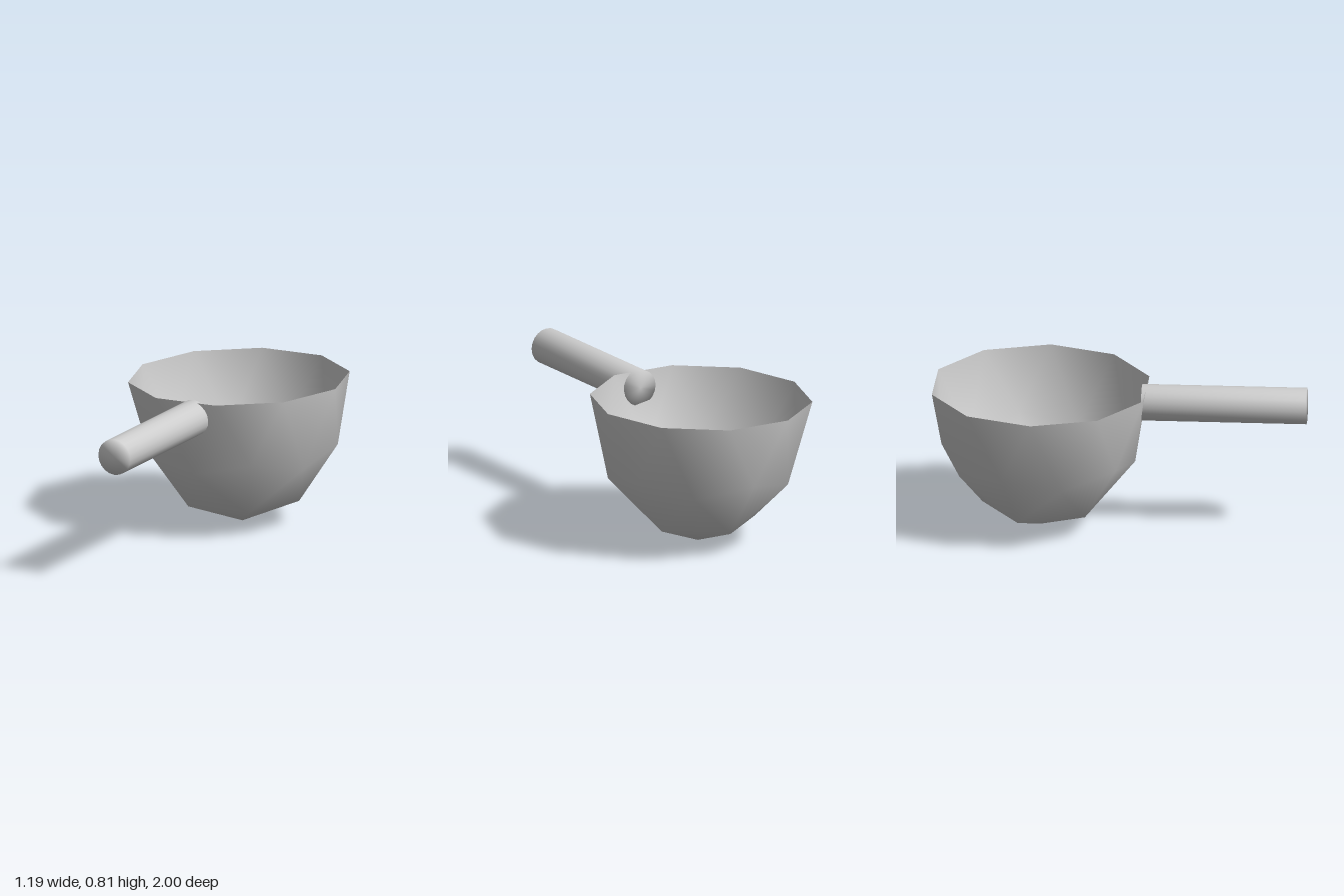
import * as THREE from 'three';
import { mergeVertices } from 'three/addons/utils/BufferGeometryUtils.js';

// Lower half of a once-subdivided icosahedron, as rings of 1, 5, 10 and 10 points
function halfIcosphere(radius, depth, turn) {
  const points = [0, -depth, 0];
  const faces = [];
  const add = (r, y, degrees) => {
    const a = THREE.MathUtils.degToRad(degrees + turn);
    points.push(radius * r * Math.cos(a), depth * y, radius * r * Math.sin(a));
  };
  for (let k = 0; k < 5; k++) add(0.526, -0.851, 72 * k);
  for (let j = 0; j < 10; j++) {
    if (j % 2) add(0.851, -0.526, 36 * j);
    else add(0.894, -0.447, 36 * j);
  }
  for (let j = 0; j < 10; j++) add(1, 0, 36 * j + 18);

  const A = (k) => 1 + (k % 5);
  const B = (j) => 6 + (j % 10);
  const C = (j) => 16 + (j % 10);
  for (let k = 0; k < 5; k++) {
    const mid = B(2 * k + 1);
    faces.push(0, A(k), A(k + 1));
    faces.push(A(k), B(2 * k), mid);
    faces.push(A(k), mid, A(k + 1));
    faces.push(A(k + 1), mid, B(2 * k + 2));
  }
  for (let j = 0; j < 10; j++) {
    faces.push(B(j), C(j), B(j + 1));
    faces.push(B(j + 1), C(j), C(j + 1));
  }
  const geometry = new THREE.BufferGeometry();
  geometry.setAttribute('position', new THREE.Float32BufferAttribute(points, 3));
  geometry.setIndex(faces);
  geometry.computeVertexNormals();
  return geometry;
}

// Closed cylinder whose normals run smoothly over the end caps
function smoothCylinder(radius, length, sides) {
  let geometry = new THREE.CylinderGeometry(radius, radius, length, sides);
  geometry.deleteAttribute('normal');
  geometry.deleteAttribute('uv');
  geometry = mergeVertices(geometry);
  geometry.clearGroups();
  geometry.computeVertexNormals();
  return geometry;
}

export function createModel() {
  const model = new THREE.Group();
  model.name = 'ladle';
  const grey = new THREE.MeshStandardMaterial({ color: 0xcccccc, side: THREE.DoubleSide });
  grey.name = 'grey';

  // Open bowl, leaning very slightly to one side
  const bowl = new THREE.Mesh(halfIcosphere(0.597, 0.797, 271.5), grey);
  bowl.name = 'bowl';
  bowl.position.set(-0.002, 0.8, -0.433);
  bowl.rotation.z = 0.027;
  model.add(bowl);

  // Straight handle, just poking through the bowl wall
  const handle = new THREE.Mesh(smoothCylinder(0.098, 0.885, 20), grey);
  handle.name = 'handle';
  handle.position.set(0.017, 0.711, 0.553);
  handle.rotation.x = Math.PI / 2;
  model.add(handle);

  return model;
}
